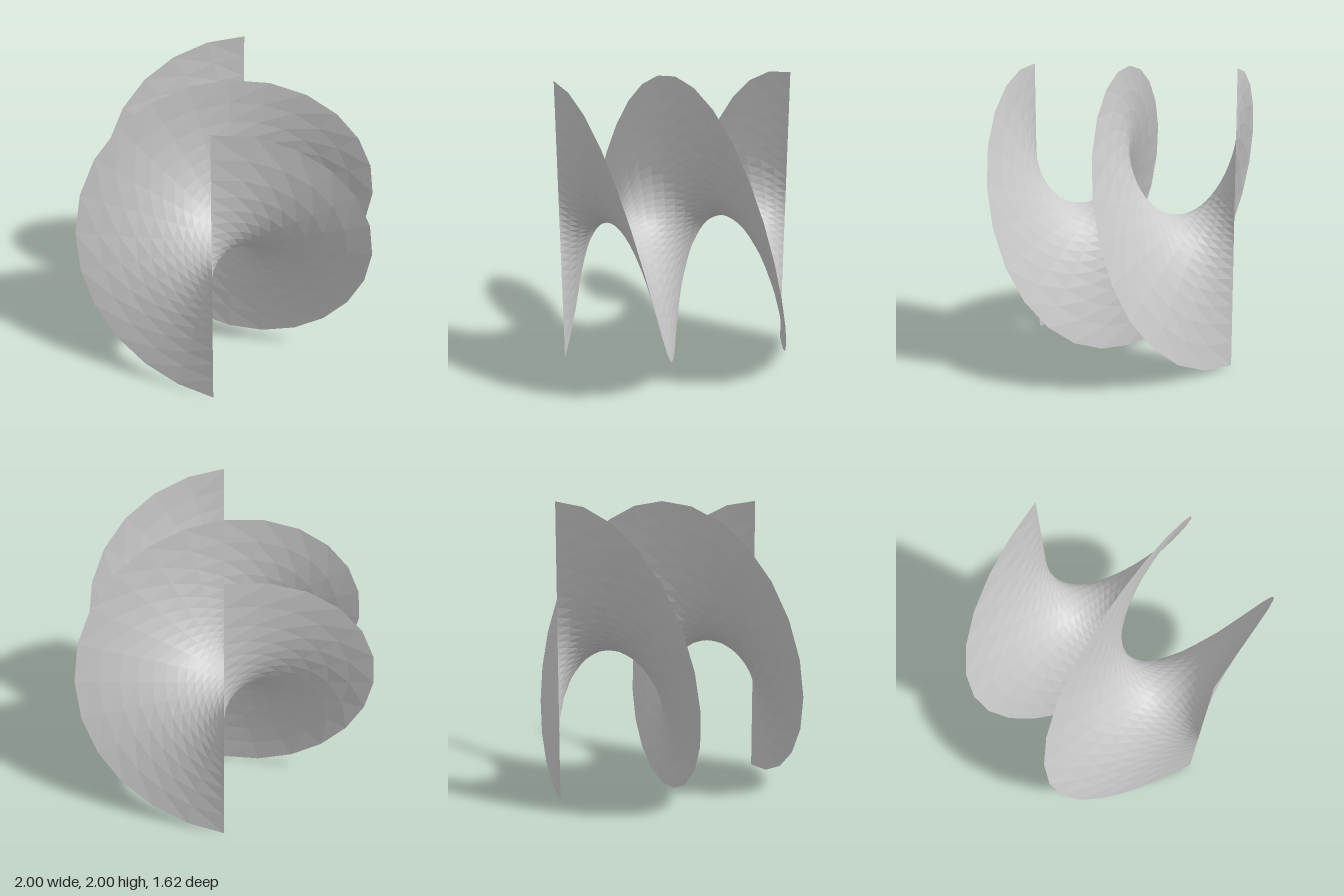
import * as THREE from 'three';
import { ParametricGeometry } from 'three/addons/geometries/ParametricGeometry.js';

const HALF_DEPTH = 0.812; // half the length along the z axis
const SPREAD = 2.06;      // packs the rulings' points closer near the axis
const STEPS = 24;         // facets per full turn and across the blade

// One full turn of a straight line sweeping along the z axis
function helicoid(u, v, target) {
  const angle = u * Math.PI * 2;
  const r = Math.sinh((v * 2 - 1) * SPREAD) / Math.sinh(SPREAD);
  target.set(
    r * Math.sin(angle),
    1 + r * Math.cos(angle),
    HALF_DEPTH * (1 - 2 * u)
  );
}

export function createModel() {
  const group = new THREE.Group();
  group.name = 'helicoid';

  // Thin twisted blade, faceted and visible from both sides
  const blade = new THREE.Mesh(
    new ParametricGeometry(helicoid, STEPS, STEPS),
    new THREE.MeshStandardMaterial({
      color: 0xcccccc,
      flatShading: true,
      side: THREE.DoubleSide,
    })
  );
  blade.name = 'twistedBlade';
  group.add(blade);
  return group;
}
